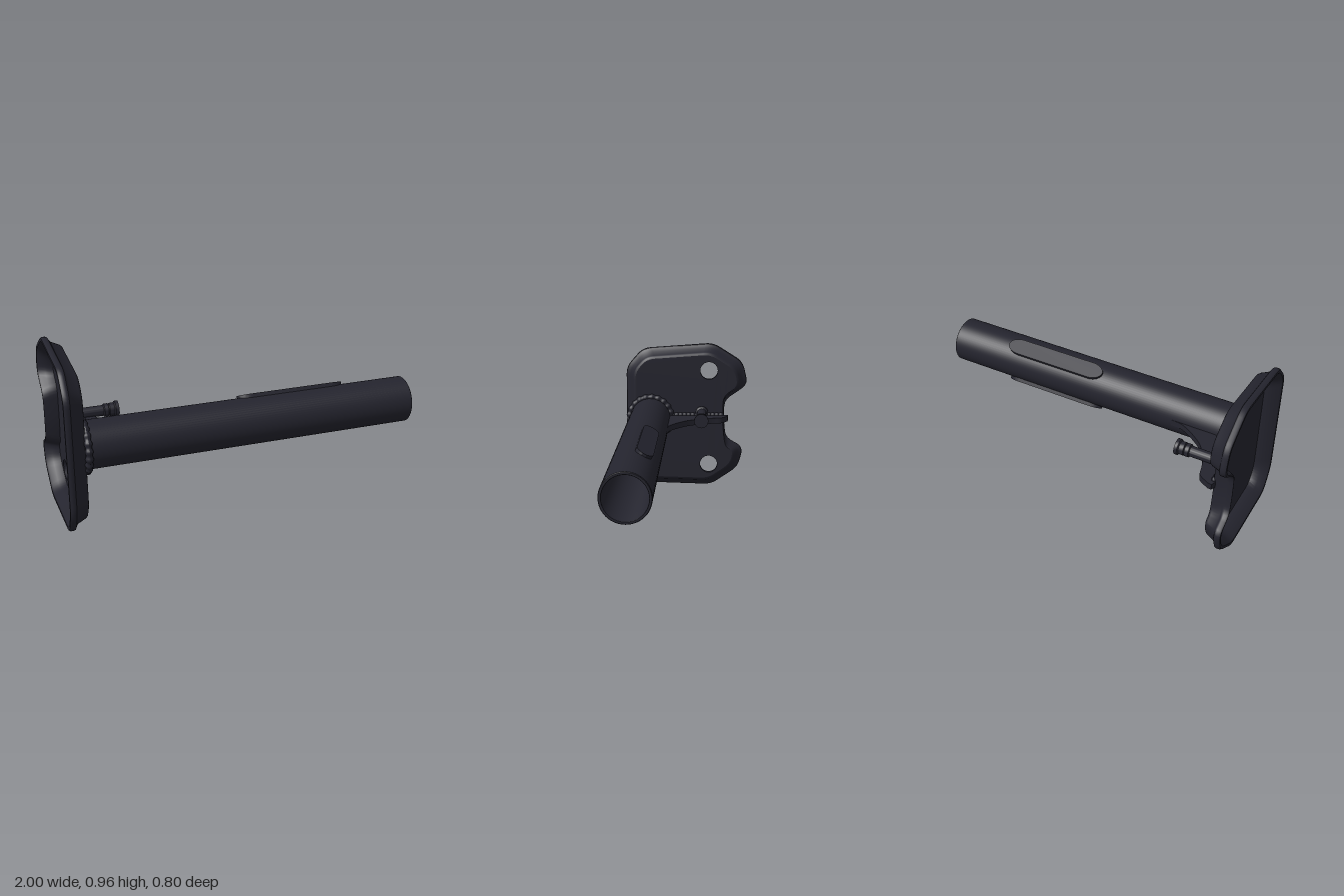
import * as THREE from 'three';
import { toCreasedNormals } from 'three/addons/utils/BufferGeometryUtils.js';

const AXIS_Y = 0.478, AXIS_Z = 0.237; // tube axis, running along x
const V = (x, y) => new THREE.Vector2(x, y);

// Plate corners as [-z, y], anticlockwise, with how strongly the edge to the next corner slopes in
const CORNERS = [
  [-0.4, 0.805, 1], [-0.4, 0.15, 1], [-0.32, 0.014, 1], [0.165, 0.001, 1], [0.345, 0.125, 1],
  [0.38, 0.26, 0.6], [0.262, 0.325, 0.15], [0.25, 0.43, 0.15], [0.25, 0.58, 0.6],
  [0.406, 0.69, 1], [0.37, 0.84, 1], [0.175, 0.963, 1], [-0.29, 0.928, 1],
];

// Plate outline moved inwards, with rounded corners
function outline(inset) {
  const n = CORNERS.length;
  const lines = CORNERS.map(([x, y, k], i) => {
    const [x2, y2] = CORNERS[(i + 1) % n];
    const dir = V(x2 - x, y2 - y).normalize();
    return { p: V(x - dir.y * inset * k, y + dir.x * inset * k), dir };
  });
  const pts = lines.map((b, i) => {
    const a = lines[(i + n - 1) % n];
    const t = b.p.clone().sub(a.p).cross(b.dir) / a.dir.cross(b.dir);
    return a.p.clone().addScaledVector(a.dir, t);
  });
  const out = [];
  pts.forEach((c, i) => {
    const prev = pts[(i + n - 1) % n], next = pts[(i + 1) % n];
    const cut = (q) => c.clone().lerp(q, Math.min(0.05, c.distanceTo(q) * 0.4) / c.distanceTo(q));
    out.push(...new THREE.QuadraticBezierCurve(cut(prev), c, cut(next)).getPoints(5));
  });
  return out;
}

// Closed ring of [inset, x] sections swept round the plate outline
function skirtGeometry(sections) {
  const rings = sections.map(([inset, x]) => outline(inset).map((p) => [x, p.y, -p.x]));
  const m = rings[0].length, r = rings.length, index = [];
  for (let j = 0; j < r; j++) {
    for (let i = 0; i < m; i++) {
      const a = j * m + i, b = ((j + 1) % r) * m + i;
      const c = j * m + (i + 1) % m, d = ((j + 1) % r) * m + (i + 1) % m;
      index.push(a, b, c, c, b, d);
    }
  }
  const g = new THREE.BufferGeometry();
  g.setAttribute('position', new THREE.Float32BufferAttribute(rings.flat(2), 3));
  g.setIndex(index);
  return toCreasedNormals(g, 0.7);
}

// Lathe turned so that its axis runs along x
function latheX(points, segments) {
  const g = new THREE.LatheGeometry(points.map(([r, x]) => V(r, x)), segments);
  return toCreasedNormals(g.rotateZ(-Math.PI / 2), 0.6);
}

export function createModel() {
  const model = new THREE.Group();
  model.name = 'wallBracket';
  const metal = new THREE.MeshStandardMaterial({ color: 0x24242e });
  metal.name = 'dark coated metal';

  const add = (name, geometry, parent = model) => {
    const mesh = new THREE.Mesh(geometry, metal);
    mesh.name = name;
    parent.add(mesh);
    return mesh;
  };

  // Mounting plate: thin floor with two bolt holes and a sloping rim, hollow behind
  const plate = new THREE.Group();
  plate.name = 'mountingPlate';
  model.add(plate);
  const face = new THREE.Shape(outline(0.065));
  for (const y of [0.792, 0.163]) {
    face.holes.push(new THREE.Path().absarc(0.148, y, 0.057, 0, Math.PI * 2, true));
  }
  const floor = new THREE.ExtrudeGeometry(face, { depth: 0.028, bevelEnabled: false, curveSegments: 40 });
  floor.rotateY(Math.PI / 2).translate(-0.918, 0, 0);
  add('plateFloor', toCreasedNormals(floor, 0.5), plate);
  add('plateRim', skirtGeometry([
    [0.065, -0.89], [0.055, -0.894], [0.047, -0.905], [0.028, -0.95], [0.012, -0.961], [0.003, -0.966],
    [0, -0.975], [0, -0.99], [0.006, -1], [0.022, -1], [0.032, -0.99], [0.05, -0.96], [0.07, -0.918],
  ]), plate);

  // Hollow tube
  const tube = add('tube', latheX([
    [0.115, -0.895], [0.131, -0.895], [0.131, 0.997], [0.128, 1], [0.117, 1], [0.115, 0.997], [0.115, -0.895],
  ], 64));
  tube.position.set(0, AXIS_Y, AXIS_Z);

  // Flat raised pads on the upper and lower rear of the tube
  const padShape = new THREE.Shape();
  const padEnd = 0.08, half = 0.048;
  padShape.moveTo(padEnd, -half);
  padShape.lineTo(0.635 - padEnd, -half);
  padShape.absellipse(0.635 - padEnd, 0, padEnd, half, -Math.PI / 2, Math.PI / 2, false);
  padShape.lineTo(padEnd, half);
  padShape.absellipse(padEnd, 0, padEnd, half, Math.PI / 2, Math.PI * 1.5, false);
  const padGeometry = toCreasedNormals(
    new THREE.ExtrudeGeometry(padShape, { depth: 0.026, bevelEnabled: false, curveSegments: 16 })
      .rotateX(-Math.PI / 2).translate(0, 0.118, 0), 0.6);
  for (const [name, angle] of [['upperPad', -0.49], ['lowerPad', 0.49 - Math.PI]]) {
    const pad = add(name, padGeometry);
    pad.position.set(0, AXIS_Y, AXIS_Z);
    pad.rotation.x = angle;
  }

  // Rippled weld bead round the foot of the tube
  const bead = new THREE.TorusGeometry(0.137, 0.02, 12, 168);
  const pos = bead.attributes.position, v = new THREE.Vector3(), core = new THREE.Vector3();
  for (let i = 0; i < pos.count; i++) {
    v.fromBufferAttribute(pos, i);
    const a = Math.atan2(v.y, v.x);
    core.set(Math.cos(a) * 0.137, Math.sin(a) * 0.137, 0);
    v.sub(core).multiplyScalar(0.98 + 0.15 * Math.cos(a * 21)).add(core);
    pos.setXYZ(i, v.x, v.y, v.z);
  }
  bead.computeVertexNormals();
  bead.rotateY(Math.PI / 2);
  add('tubeWeld', bead).position.set(-0.88, AXIS_Y, AXIS_Z);

  // Curved gusset between plate and tube
  const gussetShape = new THREE.Shape();
  gussetShape.moveTo(-0.9, -0.12);
  gussetShape.lineTo(-0.48, -0.12);
  gussetShape.lineTo(-0.48, -0.106);
  gussetShape.splineThru([[-0.54, -0.1], [-0.61, -0.065], [-0.7, 0.005], [-0.755, 0.085],
    [-0.788, 0.17], [-0.802, 0.225], [-0.825, 0.248], [-0.87, 0.272]].map(([x, y]) => V(x, y)));
  gussetShape.lineTo(-0.89, 0.274);
  gussetShape.lineTo(-0.9, 0.25);
  const gusset = new THREE.ExtrudeGeometry(gussetShape, { depth: 0.036, bevelEnabled: false, curveSegments: 32 });
  add('gusset', toCreasedNormals(gusset.rotateX(-Math.PI / 2), 0.5)).position.y = AXIS_Y - 0.018;

  // Weld beads along both sides of the gusset foot
  const blob = new THREE.SphereGeometry(0.02, 12, 8);
  for (const side of [-1, 1]) {
    for (let i = 0; i < 13; i++) {
      const weld = add('gussetWeld', blob);
      weld.position.set(-0.888, AXIS_Y + side * 0.018, 0.09 - i * 0.0265);
      weld.scale.set(0.8, 0.9, 1);
    }
  }

  // Pin with a collar and a flanged end
  const pin = add('pin', latheX([
    [0, 0], [0.042, 0], [0.042, 0.015], [0.03, 0.022], [0.03, 0.195], [0.037, 0.2], [0.037, 0.222],
    [0.033, 0.226], [0.037, 0.23], [0.037, 0.256], [0.045, 0.262], [0.045, 0.28], [0, 0.28],
  ], 32));
  pin.position.set(-0.89, 0.513, -0.102);

  return model;
}
